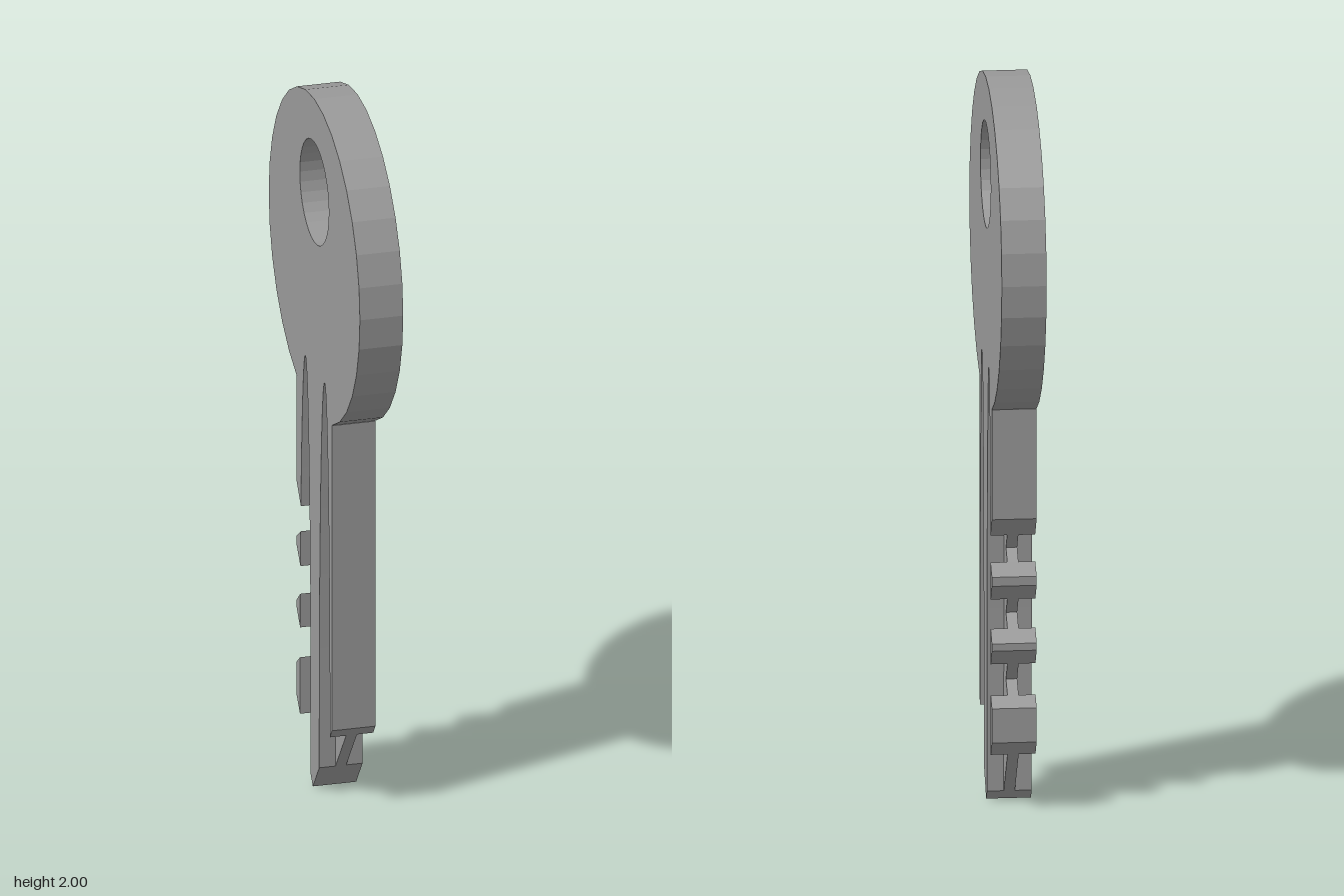
import * as THREE from 'three';

const THICK = 0.12, WEB = 0.03;
const metal = new THREE.MeshStandardMaterial({ color: 0x999999 });
metal.name = 'grey metal';

// Long grooves are half ellipses, straight below GROOVE.y
const GROOVE = { y: 0.2, rz: 0.053, ry: 1.02 };
const GROOVE_A = 0.102, GROOVE_B = -0.09;

// Groove edge from height y0 up to its pointed top; side is +1 or -1
function grooveEdge(zc, side, y0, steps = 14) {
  const pts = [];
  if (y0 < GROOVE.y) pts.push([zc + side * GROOVE.rz, y0]);
  const t0 = Math.asin(Math.max(0, (y0 - GROOVE.y) / GROOVE.ry));
  for (let i = 0; i <= steps; i++) {
    const t = t0 + (Math.PI / 2 - t0) * i / steps;
    pts.push([zc + side * GROOVE.rz * Math.cos(t), GROOVE.y + GROOVE.ry * Math.sin(t)]);
  }
  return pts;
}
const edgePoint = (y) => grooveEdge(GROOVE_B, -1, y, 1)[0];
const down = (pts) => pts.slice().reverse().slice(1);

// Flat plate from a (z, y) outline, centred on x = 0
function plate(name, points, thickness, hole) {
  const shape = new THREE.Shape(points.map(([z, y]) => new THREE.Vector2(z, y)));
  if (hole) shape.holes.push(hole);
  const geo = new THREE.ExtrudeGeometry(shape, { depth: thickness, bevelEnabled: false, curveSegments: 16 });
  geo.translate(0, 0, -thickness / 2);
  geo.rotateY(-Math.PI / 2);
  const mesh = new THREE.Mesh(geo, metal);
  mesh.name = name;
  return mesh;
}

export function createModel() {
  const key = new THREE.Group();
  key.name = 'key';

  // Round bow: 32-sided, open at the bottom where the blade joins
  const outline = [];
  for (let i = 2; i <= 30; i++) {
    const a = i * Math.PI / 16;
    outline.push([0.455 * Math.sin(a), 1.545 - 0.455 * Math.cos(a)]);
  }
  // Blade around both grooves down to the pointed tip
  outline.push(
    [-0.177, 1.125], [-0.177, 0.82],
    ...grooveEdge(GROOVE_B, -1, 0.764),
    ...down(grooveEdge(GROOVE_B, 1, 0.027)),
    [-0.015, 0],
    ...grooveEdge(GROOVE_A, -1, 0.08),
    ...down(grooveEdge(GROOVE_A, 1, 0.212)),
    [0.177, 0.24], [0.177, 1.125],
  );
  const hole = new THREE.Path();
  hole.absarc(0, 1.73, 0.145, 0, Math.PI * 2, true);
  key.add(plate('bowAndBlade', outline, THICK, hole));

  // Teeth: [inner top, outer top, outer bottom, inner bottom] heights
  const teeth = [
    [0.69, 0.66, 0.635, 0.588],
    [0.507, 0.475, 0.455, 0.409],
    [0.322, 0.295, 0.2, 0.158],
  ];
  teeth.forEach(([a, b, c, d], i) => {
    key.add(plate('tooth' + (i + 1), [edgePoint(a), [-0.177, b], [-0.177, c], edgePoint(d)], THICK));
  });

  // Thin webs forming the groove floors
  key.add(plate('plainGrooveWeb', [
    ...grooveEdge(GROOVE_A, -1, 0.08),
    ...down(grooveEdge(GROOVE_A, 1, 0.212)),
  ], WEB));
  const notches = [0.72, 0.54, 0.355];
  const toothedSide = [];
  teeth.forEach(([a, , , d], i) => {
    toothedSide.push([-0.1, notches[i]], edgePoint(a), edgePoint(d));
  });
  key.add(plate('toothedGrooveWeb', [
    ...grooveEdge(GROOVE_B, 1, 0.027),
    ...down(grooveEdge(GROOVE_B, -1, 0.764)),
    ...toothedSide,
  ], WEB));

  return key;
}
